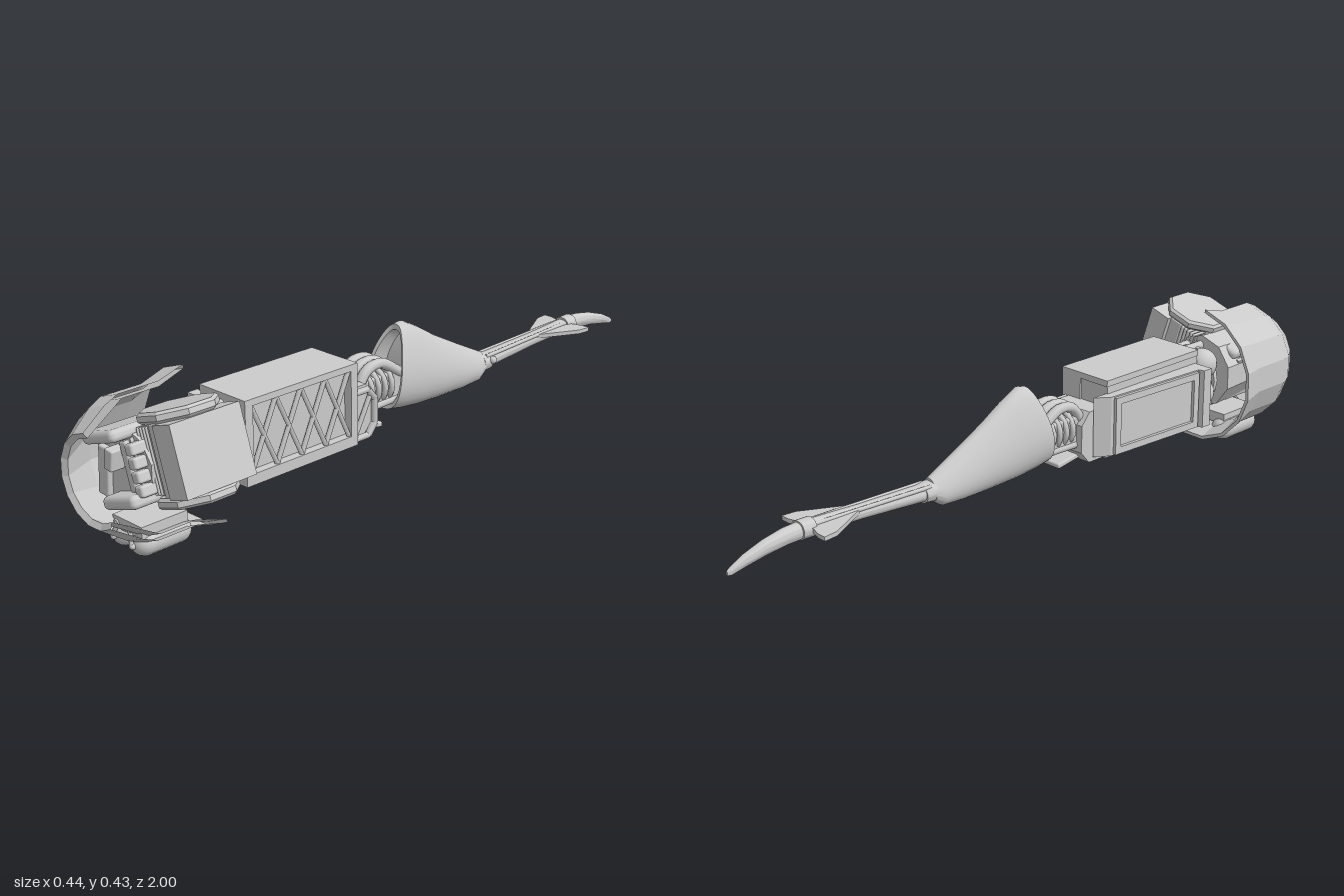
import * as THREE from 'three';
import { toCreasedNormals } from 'three/addons/utils/BufferGeometryUtils.js';
import { RoundedBoxGeometry } from 'three/addons/geometries/RoundedBoxGeometry.js';

const grey = new THREE.MeshStandardMaterial({ color: 0xcccccc });
const thin = new THREE.MeshStandardMaterial({ color: 0xcccccc, side: THREE.DoubleSide });
const flat = new THREE.MeshStandardMaterial({ color: 0xcccccc, flatShading: true });
const rad = THREE.MathUtils.degToRad;

export function createModel() {
  const model = new THREE.Group();
  const add = (name, geo, parent = model, mat = grey) => {
    const m = new THREE.Mesh(geo, mat);
    m.name = name;
    parent.add(m);
    return m;
  };
  // box from its limits; r > 0 rounds the edges
  const box = (name, x0, x1, y0, y1, z0, z1, r = 0, parent = model) => {
    const s = [x1 - x0, y1 - y0, z1 - z0];
    const m = add(name, r ? new RoundedBoxGeometry(...s, 2, r) : new THREE.BoxGeometry(...s), parent);
    m.position.set((x0 + x1) / 2, (y0 + y1) / 2, (z0 + z1) / 2);
    return m;
  };
  // straight bar between two points
  const bar = (name, a, b, r, sides = 8, parent = model) => {
    const p = new THREE.Vector3(...a), d = new THREE.Vector3(...b).sub(p);
    const m = add(name, new THREE.CylinderGeometry(r, r, d.length(), sides), parent);
    m.position.copy(p).addScaledVector(d, 0.5);
    m.quaternion.setFromUnitVectors(new THREE.Vector3(0, 1, 0), d.normalize());
    return m;
  };
  const pipe = (name, pts, r) => add(name, new THREE.TubeGeometry(
    new THREE.CatmullRomCurve3(pts.map(p => new THREE.Vector3(...p))), 14, r, 8));
  const ball = (name, x, y, z, r) => add(name, new THREE.SphereGeometry(r, 16, 12)).position.set(x, y, z);
  // plan outline in (x, z), given thickness downwards from yTop
  const slab = (name, pts, yTop, depth) => {
    const g = new THREE.ExtrudeGeometry(new THREE.Shape(pts.map(p => new THREE.Vector2(...p))),
      { depth, bevelEnabled: false });
    return add(name, g.rotateX(Math.PI / 2).translate(0, yTop, 0));
  };
  // skin over oval sections [z, bottom, top, halfWidth, slant], running towards -z
  const loft = (name, sections, cx, taper = 0, n = 24) => {
    const pos = [], idx = [], last = sections.length - 1;
    sections.forEach(([z, y0, y1, w, slant = 0]) => {
      for (let j = 0; j < n; j++) {
        const a = j / n * Math.PI * 2, f = (1 - Math.cos(a)) / 2;
        const s = Math.sign(Math.sin(a)) * Math.abs(Math.sin(a)) ** 0.8;
        pos.push(cx + w * s * (1 - taper * f ** 1.5), y0 + (y1 - y0) * f, z - slant * f * f);
      }
    });
    for (let i = 0; i < last; i++) for (let j = 0; j < n; j++) {
      const a = i * n + j, b = i * n + (j + 1) % n;
      idx.push(a, a + n, b, b, a + n, b + n);
    }
    [0, last].forEach((i, e) => {
      const [z, y0, y1, , slant = 0] = sections[i], c = pos.length / 3;
      pos.push(cx, (y0 + y1) / 2, z - slant / 4);
      for (let j = 0; j < n; j++) {
        const a = i * n + j, b = i * n + (j + 1) % n;
        idx.push(c, e ? b : a, e ? a : b);
      }
    });
    const g = new THREE.BufferGeometry();
    g.setAttribute('position', new THREE.Float32BufferAttribute(pos, 3));
    g.setIndex(idx);
    return add(name, toCreasedNormals(g, rad(40)));
  };

  // faceted front shell, open towards +x
  const profile = [[0.105, 0.99], [0.12, 1], [0.168, 0.93], [0.185, 0.89], [0.185, 0.77], [0.207, 0.69],
    [0.197, 0.69], [0.172, 0.77], [0.172, 0.88], [0.105, 0.99]].map(p => new THREE.Vector2(...p));
  const shell = add('frontShell', new THREE.LatheGeometry(profile, 9, rad(188), rad(207))
    .rotateX(Math.PI / 2), model, thin.clone());
  shell.material.flatShading = true;
  shell.position.set(-0.02, 0.225, 0);

  // machinery inside the shell
  const core = add('headCore', new THREE.CylinderGeometry(0.1, 0.11, 0.18, 10).rotateX(Math.PI / 2), model, flat);
  core.position.set(-0.025, 0.23, 0.8);
  const inner = new THREE.Group();
  inner.name = 'innerMachinery';
  inner.position.set(-0.03, 0.23, 0);
  inner.rotation.z = rad(18);
  model.add(inner);
  box('upperArm', -0.07, 0.06, 0.068, 0.1, 0.74, 0.95, 0.014, inner);
  box('lowerArm', -0.05, 0.08, -0.095, -0.06, 0.74, 0.95, 0.014, inner);
  box('backPlate', -0.08, 0.06, -0.07, 0.07, 0.76, 0.9, 0, inner);
  const panel = box('innerPanel', -0.085, -0.045, -0.07, 0.06, 0.88, 0.915, 0.005, inner);
  panel.rotation.z = rad(-22);
  box('columnPlate', 0.03, 0.055, -0.06, 0.065, 0.86, 0.915, 0.005, inner);
  box('tiltedBlock', -0.01, 0.02, 0.0, 0.055, 0.88, 0.94, 0.004, inner).rotation.z = rad(-26);
  for (let i = 0; i < 4; i++)
    box('keyBlock', 0.062, 0.092, -0.072 + i * 0.034, -0.042 + i * 0.034, 0.87, 0.925, 0.007, inner);

  // tilted side engine: block, bellows and two octagonal end pads
  const engine = new THREE.Group();
  engine.name = 'sideEngine';
  engine.position.set(0.092, 0.275, 0.795);
  engine.rotation.z = rad(18);
  model.add(engine);
  box('engineBlock', 0.03, 0.098, -0.09, 0.09, -0.105, 0.105, 0, engine);
  box('engineStep', -0.01, 0.035, -0.09, 0.09, -0.09, 0.09, 0.004, engine);
  box('bellowsCore', -0.09, 0, -0.072, 0.072, -0.075, 0.075, 0, engine);
  for (let i = 0; i < 6; i++)
    box('bellowsRib', -0.078 + i * 0.012, -0.07 + i * 0.012, -0.084, 0.084, -0.087, 0.087, 0.0035, engine);
  for (const s of [-1, 1]) {
    const pts = [[0, -0.014], [0.094, -0.014], [0.102, -0.007], [0.102, 0.007], [0.094, 0.014], [0, 0.014]];
    const pad = add('octagonPad', new THREE.LatheGeometry(pts.map(p => new THREE.Vector2(...p)), 8, rad(22.5)),
      engine, flat);
    pad.position.set(0, s * 0.104, 0);
  }

  // twin canisters under the shell
  box('canisterBracket', -0.083, 0.03, 0.058, 0.09, 0.76, 0.9);
  for (const [x, y, top] of [[-0.068, 0.04, -0.053], [0.006, 0.037, -0.003]]) {
    add('canister', new THREE.CapsuleGeometry(0.035, 0.1, 8, 18).rotateX(Math.PI / 2)).position.set(x, y, 0.825);
    bar('canisterFeed', [top, 0.08, 0.91], [x, y, 0.914], 0.006);
    ball('feedKnob', x, y, 0.911, 0.009);
    add('feedRing', new THREE.TorusGeometry(0.008, 0.003, 6, 12)).position.set(top, 0.08, 0.912);
  }

  // coupling between head and body
  box('couplingBlock', -0.07, 0.04, 0.16, 0.29, 0.58, 0.73);
  for (let i = 0; i < 3; i++) {
    const ring = add('couplingRing', new THREE.CylinderGeometry(0.09, 0.09, 0.014, 16).rotateX(Math.PI / 2));
    ring.position.set(-0.02, 0.225, 0.625 + i * 0.027);
  }
  ball('couplingBall', -0.078, 0.28, 0.65, 0.045);
  ball('couplingBall', -0.078, 0.19, 0.65, 0.04);
  for (const [x, y] of [[0.03, 0.3], [0.04, 0.17], [-0.02, 0.31], [-0.06, 0.14]])
    bar('couplingRod', [x, y, 0.58], [x, y, 0.74], 0.013);

  // body: solid back half, open braced frame on the +x side
  box('bodyCore', -0.1, 0.045, 0.115, 0.335, 0.22, 0.595);
  box('bodyRoof', -0.103, 0.07, 0.322, 0.34, 0.215, 0.6);
  box('bodyFloor', -0.1, 0.07, 0.11, 0.14, 0.215, 0.6);
  box('frontPost', -0.1, 0.07, 0.115, 0.335, 0.575, 0.6);
  box('rearPost', 0, 0.07, 0.115, 0.335, 0.215, 0.238);
  for (let i = 0; i < 4; i++) {
    const z0 = 0.575 - i * 0.084, z1 = z0 - 0.084;
    bar('brace', [0.06, 0.14, z0], [0.06, 0.322, z1], 0.007, 6);
    bar('brace', [0.06, 0.322, z0], [0.06, 0.14, z1], 0.007, 6);
  }
  const side = new THREE.Shape([[0.24, 0.11], [0.16, 0.11], [0.13, 0.145], [0.13, 0.225], [0.16, 0.26], [0.24, 0.26]]
    .map(([z, y]) => new THREE.Vector2(-z, y)));
  const rearBlock = new THREE.ExtrudeGeometry(side, { depth: 0.135, bevelEnabled: false });
  add('rearBlock', rearBlock.rotateY(Math.PI / 2).translate(-0.09, 0, 0));
  const loop = [[0.22, 0.12], [0.165, 0.12], [0.14, 0.15], [0.14, 0.22], [0.165, 0.25], [0.22, 0.25]];
  for (let i = 0; i < 5; i++)
    bar('rearFrame', [0.057, loop[i][1], loop[i][0]], [0.057, loop[i + 1][1], loop[i + 1][0]], 0.01, 6);
  bar('rearBrace', [0.055, 0.12, 0.215], [0.055, 0.24, 0.15], 0.007, 6);

  // wedge-shaped side pod with a raised frame
  slab('sidePod', [[-0.095, 0.17], [-0.125, 0.21], [-0.145, 0.555], [-0.163, 0.56], [-0.163, 0.592], [-0.095, 0.592]],
    0.3, 0.175);
  const rect = (x, y, P) => new P([[-x, -y], [x, -y], [x, y], [-x, y]].map(p => new THREE.Vector2(...p)));
  const frame = rect(0.165, 0.084, THREE.Shape);
  frame.holes.push(rect(0.145, 0.064, THREE.Path));
  const podFrame = add('podFrame', new THREE.ExtrudeGeometry(frame, { depth: 0.012, bevelEnabled: false }));
  podFrame.position.set(-0.133, 0.212, 0.385);
  podFrame.rotation.y = -Math.PI / 2 - 0.058;

  // neck between body and tail cowl
  box('neckBlock', -0.07, 0.012, 0.17, 0.25, -0.02, 0.15, 0.008);
  for (const x of [-0.062, -0.028, 0.006]) {
    pipe('neckPipe', [[x, 0.22, 0.16], [x, 0.275, 0.12], [x, 0.285, 0.07], [x, 0.24, -0.01]], 0.015);
    bar('neckRod', [x, 0.165, 0.15], [x, 0.17, -0.03], 0.012);
  }
  for (let i = 0; i < 4; i++) {
    const ring = add('neckRing', new THREE.TorusGeometry(0.048, 0.008, 8, 20));
    ring.position.set(-0.028, 0.215, 0.035 + i * 0.025);
  }
  const flap = box('neckFlap', -0.06, 0.02, 0.115, 0.13, 0.07, 0.2, 0.005);
  flap.rotation.x = rad(-9);

  // hooded tail cowl with a recessed mouth
  loft('tailCowl', [[-0.03, 0.16, 0.335, 0.058, 0.03], [0.025, 0.15, 0.35, 0.067, 0.05], [0.03, 0.136, 0.366, 0.077, 0.055],
    [-0.01, 0.128, 0.37, 0.077, 0.04], [-0.08, 0.12, 0.345, 0.071, 0.02], [-0.17, 0.116, 0.302, 0.062],
    [-0.27, 0.114, 0.25, 0.052], [-0.34, 0.118, 0.215, 0.045], [-0.37, 0.138, 0.2, 0.036]], -0.024, 0.45, 32);

  // boom, collars, fins and curved tip
  loft('tailBoom', [[-0.35, 0.14, 0.19, 0.027], [-0.41, 0.146, 0.19, 0.026], [-0.6, 0.16, 0.197, 0.02],
    [-0.79, 0.17, 0.208, 0.022]], -0.024);
  loft('boomCollar', [[-0.365, 0.138, 0.194, 0.032], [-0.4, 0.141, 0.19, 0.03]], -0.024);
  loft('tipCollar', [[-0.75, 0.163, 0.212, 0.026], [-0.79, 0.164, 0.213, 0.027]], -0.024);
  for (const s of [-1, 1]) {
    const X = x => -0.024 + s * x;
    bar('boomRod', [X(0.018), 0.185, -0.38], [X(0.014), 0.198, -0.76], 0.006);
    slab('tailFin', [[X(0.01), -0.6], [X(0.022), -0.62], [X(0.082), -0.735], [X(0.086), -0.775],
      [X(0.06), -0.775], [X(0.01), -0.76]], 0.195, 0.012);
  }
  ball('boomKnob', 0.004, 0.172, -0.4, 0.012);
  loft('tailTip', [[-0.77, 0.166, 0.21, 0.022], [-0.83, 0.164, 0.207, 0.02], [-0.89, 0.157, 0.196, 0.016],
    [-0.95, 0.146, 0.177, 0.012], [-0.99, 0.137, 0.157, 0.008], [-1, 0.139, 0.15, 0.004]], -0.024);
  return model;
}
